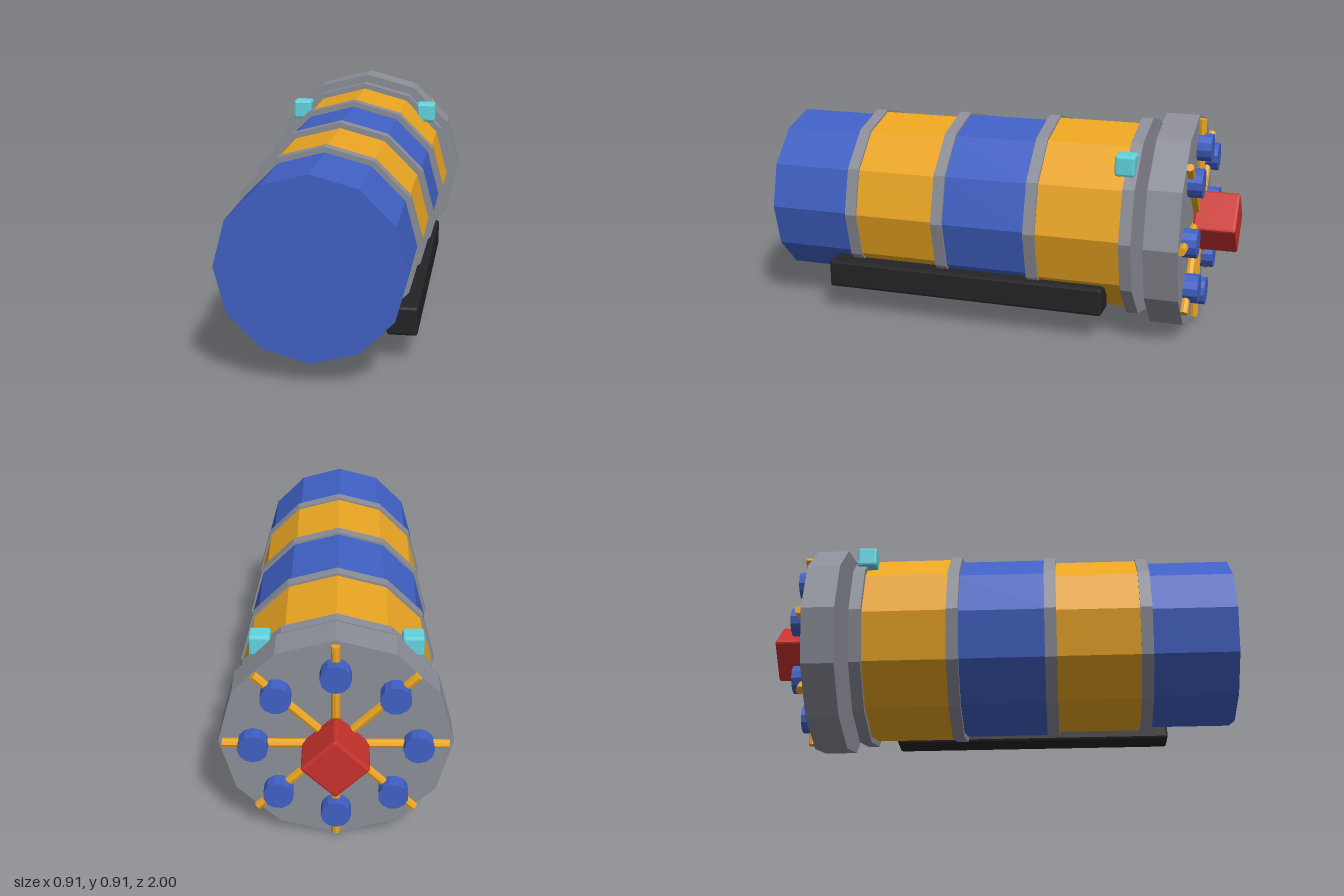
import * as THREE from 'three';
import { RoundedBoxGeometry } from 'three/addons/geometries/RoundedBoxGeometry.js';

const AXIS_Y = 0.46;

function paint(color) {
  const m = new THREE.MeshStandardMaterial({ flatShading: true });
  m.color.set(color);
  return m;
}

export function createModel() {
  const group = new THREE.Group();
  const blue = paint(0x4060c4), orange = paint(0xeaa522), grey = paint(0x8c8e98);
  const red = paint(0xc8322d), cyan = paint(0x62d4df), black = paint(0x242426);

  const add = (name, geometry, material, parent = group) => {
    const mesh = new THREE.Mesh(geometry, material);
    mesh.name = name;
    parent.add(mesh);
    return mesh;
  };

  // Faceted drum lying along z, between zFront and zBack
  const drum = (name, radius, zFront, zBack, material) => {
    const g = new THREE.CylinderGeometry(radius, radius, zFront - zBack, 12);
    g.rotateX(Math.PI / 2);
    add(name, g, material).position.set(0, AXIS_Y, (zFront + zBack) / 2);
  };

  // Bevelled block
  const block = (name, size, position, bevel, material) => {
    const mesh = add(name, new RoundedBoxGeometry(...size, 1, bevel), material);
    mesh.position.set(...position);
    return mesh;
  };

  // Body sections, widening toward the back, each closed by a grey collar
  const sections = [
    { r: 0.365, collar: 0.387, z0: 1.0, z1: 0.62, mat: blue },
    { r: 0.378, collar: 0.402, z0: 0.62, z1: 0.22, mat: orange },
    { r: 0.392, collar: 0.416, z0: 0.22, z1: -0.19, mat: blue },
    { r: 0.405, collar: 0.43, z0: -0.19, z1: -0.595, mat: orange },
  ];
  sections.forEach(({ r, collar, z0, z1, mat }, i) => {
    drum('bodySection' + (i + 1), r, z0, z1, mat);
    drum('collar' + (i + 1), collar, z1 + 0.025, z1 - 0.025, grey);
  });

  // Separate rear plate
  drum('rearPlate', 0.457, -0.675, -0.815, grey);

  // Eight spokes with round studs on the rear plate
  const wheel = new THREE.Group();
  wheel.name = 'spokeWheel';
  wheel.position.set(0, AXIS_Y, 0);
  group.add(wheel);
  const spokeGeo = new THREE.CylinderGeometry(0.018, 0.018, 0.44, 8);
  spokeGeo.translate(0, 0.22, -0.827);
  const studGeo = new THREE.CylinderGeometry(0.06, 0.06, 0.06, 12);
  studGeo.rotateX(Math.PI / 2).translate(0, 0.32, -0.845);
  for (let i = 0; i < 8; i++) {
    const angle = (i * Math.PI) / 4;
    add('spoke', spokeGeo, orange, wheel).rotation.z = angle;
    add('stud', studGeo, blue, wheel).rotation.z = angle;
  }

  // Hub block standing on its corner
  block('hub', [0.19, 0.19, 0.18], [0, AXIS_Y, -0.91], 0.01, red).rotation.z = Math.PI / 4;

  // Small upper lamps
  for (const side of [-1, 1]) {
    block(side > 0 ? 'leftLamp' : 'rightLamp', [0.086, 0.086, 0.083],
      [side * 0.301, 0.761, -0.57], 0.01, cyan);
  }

  // Long rail low on the left side
  block('rail', [0.122, 0.122, 1.23], [0.317, 0.179, 0.12], 0.012, black);

  return group;
}
